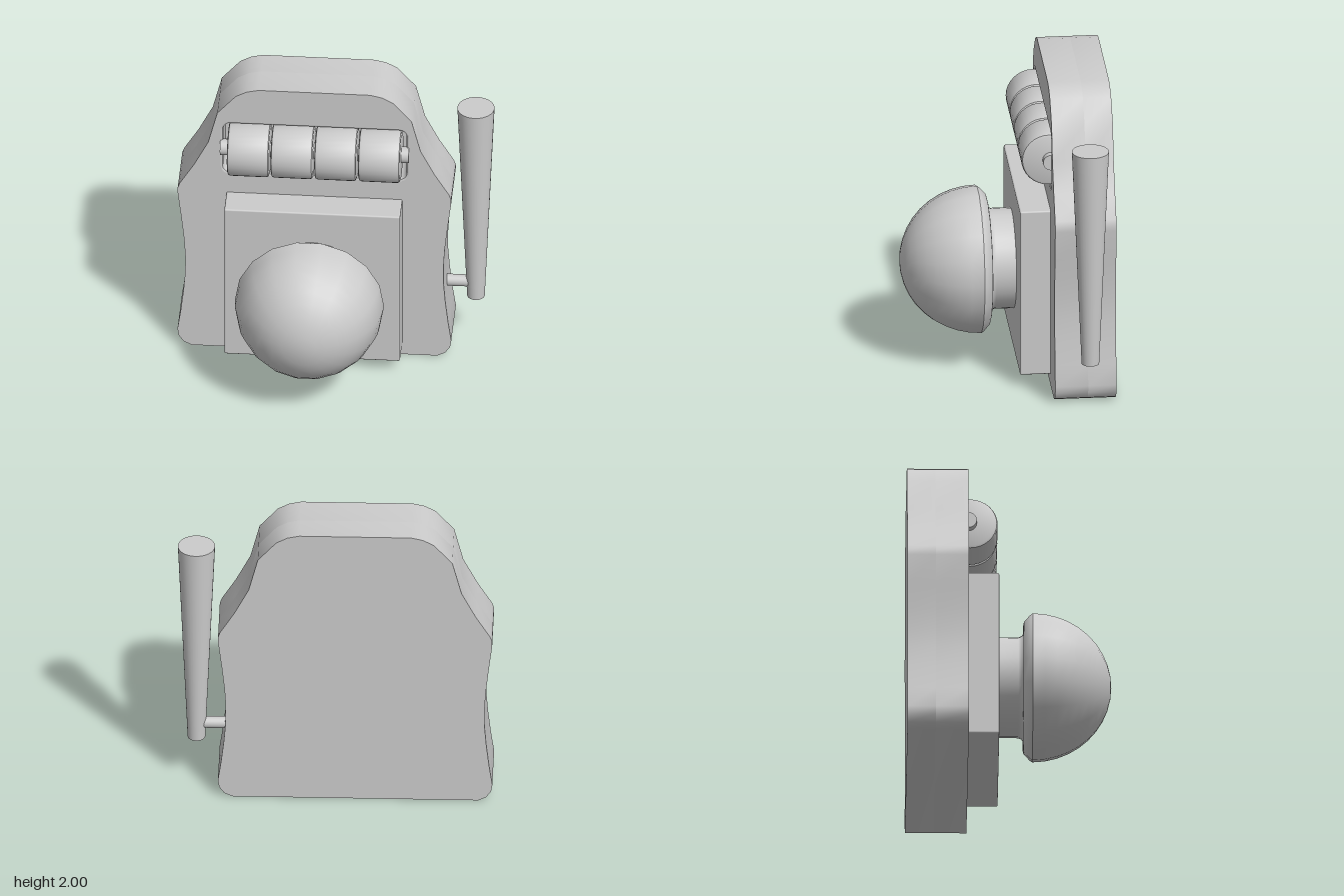
import * as THREE from 'three';
import { toCreasedNormals } from 'three/addons/utils/BufferGeometryUtils.js';
import { RoundedBoxGeometry } from 'three/addons/geometries/RoundedBoxGeometry.js';

const CX = -0.13;                       // centre line of the machine body
const BACK = -0.65, FRONT = -0.26, FLOOR = -0.47;
const V = (x, y) => new THREE.Vector2(x, y);

// Half outline of the body: half width, height
const SIDE = [
  [0.78, 0], [0.83, 0.025], [0.862, 0.07], [0.87, 0.12], [0.85, 0.26], [0.832, 0.42],
  [0.821, 0.56], [0.82, 0.68], [0.828, 0.82], [0.845, 0.98], [0.869, 1.18], [0.869, 1.215],
  [0.857, 1.25], [0.766, 1.4], [0.675, 1.58], [0.617, 1.81], [0.5, 1.945],
  [0.43, 1.983], [0.355, 2]
];

function bodyShape() {
  const right = SIDE.map(([w, y]) => V(CX + w, y));
  const left = SIDE.map(([w, y]) => V(CX - w, y)).reverse();
  return new THREE.Shape([...right, ...left]);
}

// Rounded rectangle, inset from the window opening
function windowPath(Type, inset) {
  const x0 = -0.73 + inset, x1 = 0.475 - inset, y0 = 1.335 + inset, y1 = 1.75 - inset;
  const r = 0.07 - inset;
  const p = new Type();
  p.absarc(x1 - r, y0 + r, r, -Math.PI / 2, 0);
  p.absarc(x1 - r, y1 - r, r, 0, Math.PI / 2);
  p.absarc(x0 + r, y1 - r, r, Math.PI / 2, Math.PI);
  p.absarc(x0 + r, y0 + r, r, Math.PI, Math.PI * 1.5);
  p.closePath();
  return p;
}

export function createModel() {
  const group = new THREE.Group();
  const material = new THREE.MeshStandardMaterial({ color: 0xcccccc });
  const add = (name, geometry, x = 0, y = 0, z = 0) => {
    const mesh = new THREE.Mesh(geometry, material);
    mesh.name = name;
    mesh.position.set(x, y, z);
    group.add(mesh);
    return mesh;
  };
  const extrude = (shape, depth, options = {}) => toCreasedNormals(
    new THREE.ExtrudeGeometry(shape, { depth, bevelEnabled: false, curveSegments: 6, ...options }), 0.6);

  // Body: solid back and a front layer with the window cut out
  add('bodyBack', extrude(bodyShape(), FLOOR - BACK), 0, 0, BACK);
  const front = bodyShape();
  front.holes.push(windowPath(THREE.Path, 0));
  add('bodyFront', extrude(front, FRONT - FLOOR), 0, 0, FLOOR);

  // Bevelled rim lining the window
  const rim = windowPath(THREE.Shape, 0);
  rim.holes.push(windowPath(THREE.Path, 0.004));
  add('windowRim', extrude(rim, FRONT - FLOOR - 0.04, {
    bevelEnabled: true, bevelSize: 0.016, bevelThickness: 0.02, bevelSegments: 2
  }), 0, 0, FLOOR + 0.02);

  // Reels on their axle
  const reelProfile = [
    V(0, -0.1325), V(0.155, -0.1325), V(0.169, -0.127), V(0.175, -0.113),
    V(0.175, 0.113), V(0.169, 0.127), V(0.155, 0.1325), V(0, 0.1325)
  ];
  const reelGeometry = toCreasedNormals(new THREE.LatheGeometry(reelProfile, 32), 0.6);
  for (let i = 0; i < 4; i++) {
    add('reel' + (i + 1), reelGeometry, -0.542 + i * 0.278, 1.55, -0.25).rotation.z = -Math.PI / 2;
  }
  add('reelAxle', new THREE.CylinderGeometry(0.052, 0.052, 1.2, 20), -0.1275, 1.55, -0.26).rotation.z = Math.PI / 2;

  // Square front plate
  add('frontPlate', new RoundedBoxGeometry(1.117, 1.12, 0.215, 2, 0.01), CX, 0.64, -0.1725);

  // Neck and domed knob, turned around the z axis
  const neckProfile = [V(0.32, -0.08), V(0.32, 0.06), V(0.328, 0.08), V(0.35, 0.095)];
  add('knobNeck', new THREE.LatheGeometry(neckProfile, 32), CX, 0.655, 0).rotation.x = Math.PI / 2;

  const knobProfile = [V(0, 0.09), V(0.4, 0.09), V(0.42, 0.095), V(0.462, 0.133), V(0.474, 0.15)];
  for (let i = 1; i <= 10; i++) {
    const a = (i / 10) * Math.PI / 2;
    knobProfile.push(V(i === 10 ? 0 : 0.474 * Math.cos(a), 0.15 + 0.5 * Math.sin(a)));
  }
  const knob = toCreasedNormals(new THREE.LatheGeometry(knobProfile, 18, Math.PI / 2), 0.6);
  add('knob', knob, CX, 0.655, 0).rotation.x = Math.PI / 2;

  // Side lever and the short arm that carries it
  add('lever', new THREE.CylinderGeometry(0.118, 0.056, 1.455, 32), 0.881, 1.0625, -0.47);
  add('leverArm', new THREE.CylinderGeometry(0.038, 0.038, 0.2, 20), 0.76, 0.445, -0.47).rotation.z = Math.PI / 2;

  return group;
}
